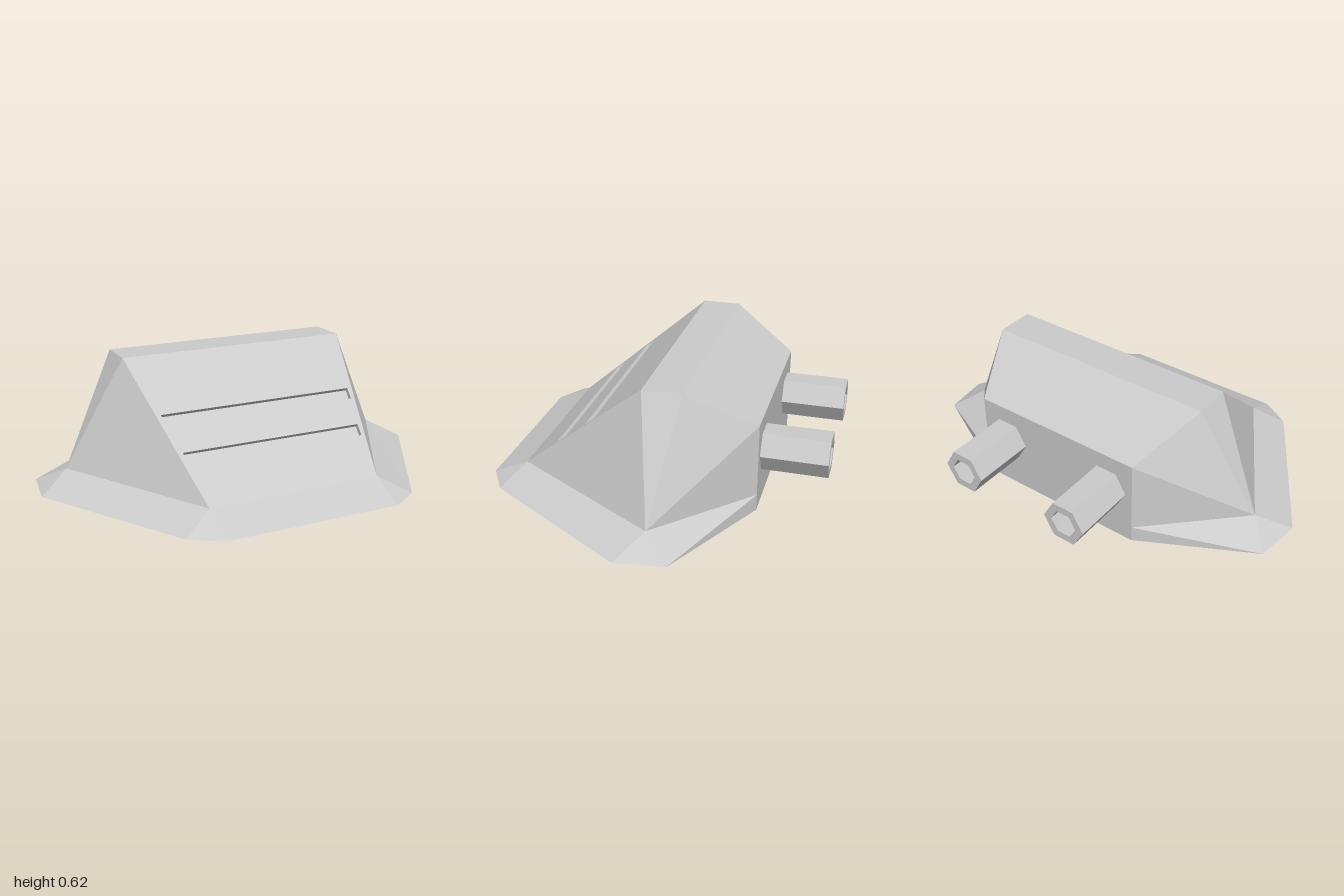
import * as THREE from 'three';

const grey = new THREE.MeshStandardMaterial({ color: 0xcccccc, flatShading: true });

// Corners of the left half; the other half is mirrored
const P = {
  b0: [0.43, 0, 0.81], b1: [0.575, 0, 0.72], b2: [1, 0, 0.01], b3: [0.97, 0, -0.22], b4: [0.435, 0, -0.5],
  r0: [0.43, 0.08, 0.635], r1: [0.85, 0.08, -0.095], r2: [0.435, 0.08, -0.5],
  t0: [0.58, 0.615, 0], t1: [0.58, 0.615, -0.185], k: [0.435, 0.435, -0.5],
};
const mirror = ([x, y, z]) => [-x, y, z];

function facetGeometry(faces) {
  const pos = [];
  for (const f of faces)
    for (let i = 1; i < f.length - 1; i++) pos.push(...f[0], ...f[i], ...f[i + 1]);
  const g = new THREE.BufferGeometry();
  g.setAttribute('position', new THREE.Float32BufferAttribute(pos, 3));
  g.computeVertexNormals();
  return g;
}

// sides: faces mirrored left and right; spans: quads bridging both halves
function hullPart(name, sides, spans) {
  const faces = [];
  for (const s of sides) {
    const f = s.split(' ').map((n) => P[n]);
    faces.push(f, f.map(mirror).reverse());
  }
  for (const s of spans) {
    const [a, b] = s.split(' ').map((n) => P[n]);
    faces.push([mirror(a), a, b, mirror(b)]);
  }
  const mesh = new THREE.Mesh(facetGeometry(faces), grey);
  mesh.name = name;
  return mesh;
}

// Symmetric trapezoid between two heights
function trapezoid(Type, xTop, yTop, xBottom, yBottom) {
  return new Type([[-xBottom, yBottom], [xBottom, yBottom], [xTop, yTop], [-xTop, yTop]]
    .map(([x, y]) => new THREE.Vector2(x, y)));
}

// Sloping front plate with two recessed slots
function frontPlate() {
  const depth = 0.02;
  const rise = P.t0[1] - P.r0[1], run = P.r0[2] - P.t0[2];
  const slots = [[0.495, -0.334, 0.488, -0.396], [0.457, -0.543, 0.45, -0.605]];
  const plate = trapezoid(THREE.Shape, P.t0[0], 0, P.r0[0], -Math.hypot(rise, run));
  plate.holes = slots.map((s) => trapezoid(THREE.Path, ...s));

  const group = new THREE.Group();
  group.name = 'frontPlate';
  const panel = new THREE.Mesh(new THREE.ExtrudeGeometry(plate, { depth, bevelEnabled: false }), grey);
  panel.name = 'slottedPanel';
  const floors = new THREE.Mesh(
    new THREE.ShapeGeometry(slots.map((s) => trapezoid(THREE.Shape, ...s))), grey);
  floors.name = 'slotFloors';
  panel.position.z = floors.position.z = -depth;
  group.add(panel, floors);
  group.position.set(0, P.t0[1], P.t0[2]);
  group.rotation.x = -Math.atan2(run, rise);
  return group;
}

// Hollow six-sided pipe pointing backwards
function pipe(name, x) {
  const profile = [[0.107, 0], [0.107, 0.31], [0.066, 0.31], [0.066, 0]]
    .map(([r, y]) => new THREE.Vector2(r, y));
  const mesh = new THREE.Mesh(new THREE.LatheGeometry(profile, 6, Math.PI / 2), grey);
  mesh.name = name;
  mesh.rotation.x = -Math.PI / 2;
  mesh.position.set(x, 0.26, -0.5);
  return mesh;
}

export function createModel() {
  const model = new THREE.Group();
  model.name = 'wedgeHousing';
  model.add(
    // Sloping rim around the foot, with the underside
    hullPart('skirt',
      ['b0 b1 r0', 'b1 b2 r1 r0', 'b2 b3 r1', 'b3 r2 r1', 'b3 b4 r2'],
      ['b0 r0', 'b4 b3', 'b3 b2', 'b2 b1', 'b1 b0']),
    // Sides, roof and back wall
    hullPart('body',
      ['r0 r1 t0', 'r1 t1 t0', 'r1 k t1', 'r1 r2 k'],
      ['t0 t1', 't1 k', 'k b4']),
    frontPlate(),
    pipe('leftPipe', 0.293),
    pipe('rightPipe', -0.293),
  );
  return model;
}
